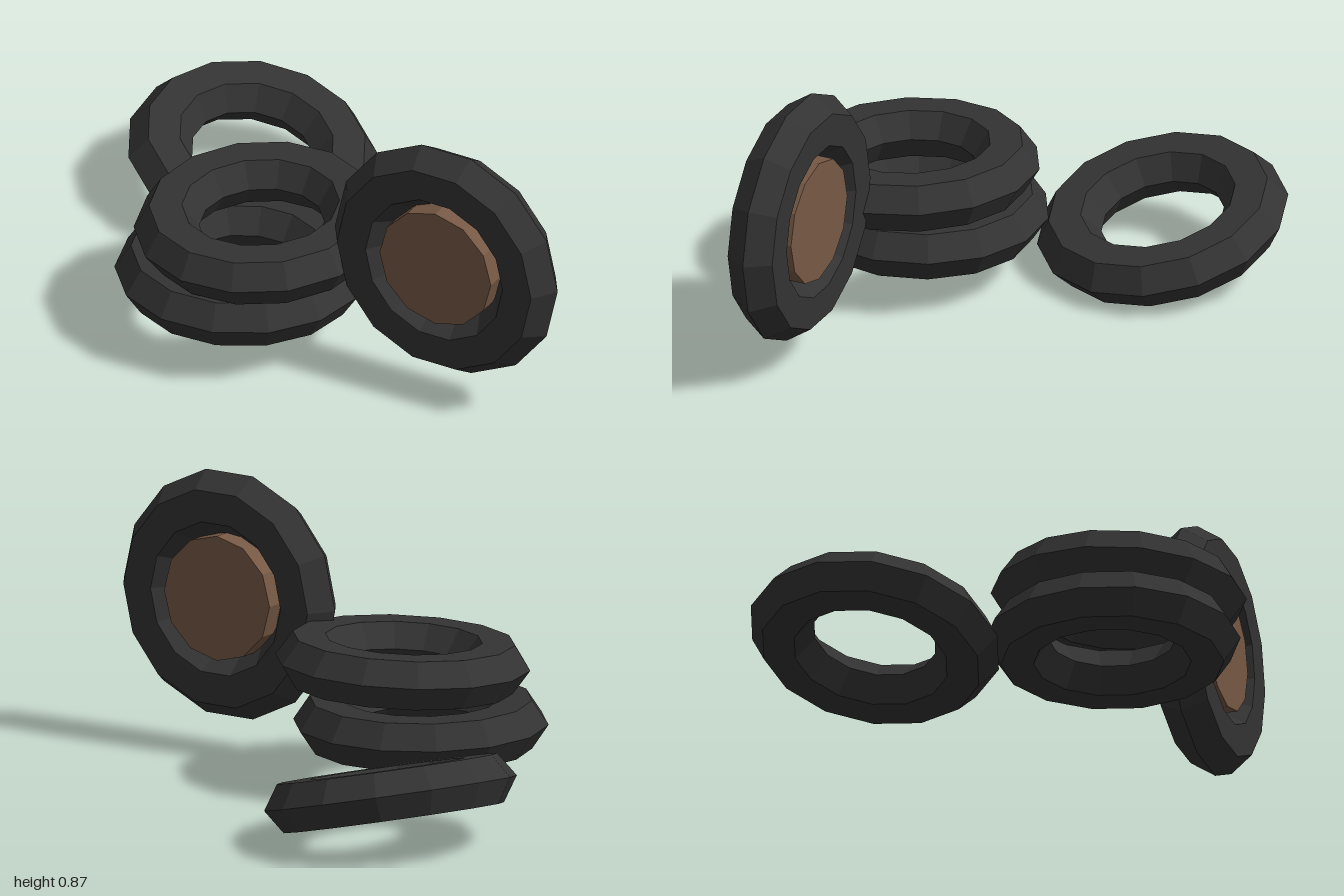
import * as THREE from 'three';

export function createModel() {
  const model = new THREE.Group();
  const rubber = new THREE.MeshStandardMaterial({ color: 0x333333, flatShading: true });
  rubber.name = 'dark rubber';
  const wood = new THREE.MeshStandardMaterial({ color: 0x765844, flatShading: true });
  wood.name = 'brown wood';

  // Fourteen-sided tyre with a flattened hexagonal section, axis along y
  const tyreGeometry = new THREE.TorusGeometry(0.29, 0.1, 6, 14);
  tyreGeometry.scale(1, 1, 0.87);
  tyreGeometry.rotateX(Math.PI / 2);

  function addTyre(name, position, tilt, spin = 0) {
    const group = new THREE.Group();
    group.name = name;
    group.position.set(...position);
    group.rotation.set(...tilt.map(THREE.MathUtils.degToRad), 'YXZ');
    const tyre = new THREE.Mesh(tyreGeometry, rubber);
    tyre.name = name + 'Ring';
    tyre.rotation.y = spin;
    group.add(tyre);
    model.add(group);
    return group;
  }

  // Two stacked tyres, one leaning on the side, one standing upright
  addTyre('lowerTyre', [-0.07, 0.213, 0.237], [0, 0, 0]);
  addTyre('upperTyre', [-0.01, 0.39, 0.21], [3.2, 0, 0]);
  addTyre('leaningTyre', [-0.63, 0.168, -0.233], [0, 0, -14.8], Math.PI / 14);
  const upright = addTyre('uprightTyre', [0.637, 0.4975, 0], [90, 22.6, 0]);

  // Plug filling the hole of the upright tyre
  const plug = new THREE.Mesh(new THREE.CylinderGeometry(0.195, 0.195, 0.136, 12), wood);
  plug.name = 'hubPlug';
  upright.add(plug);

  return model;
}
